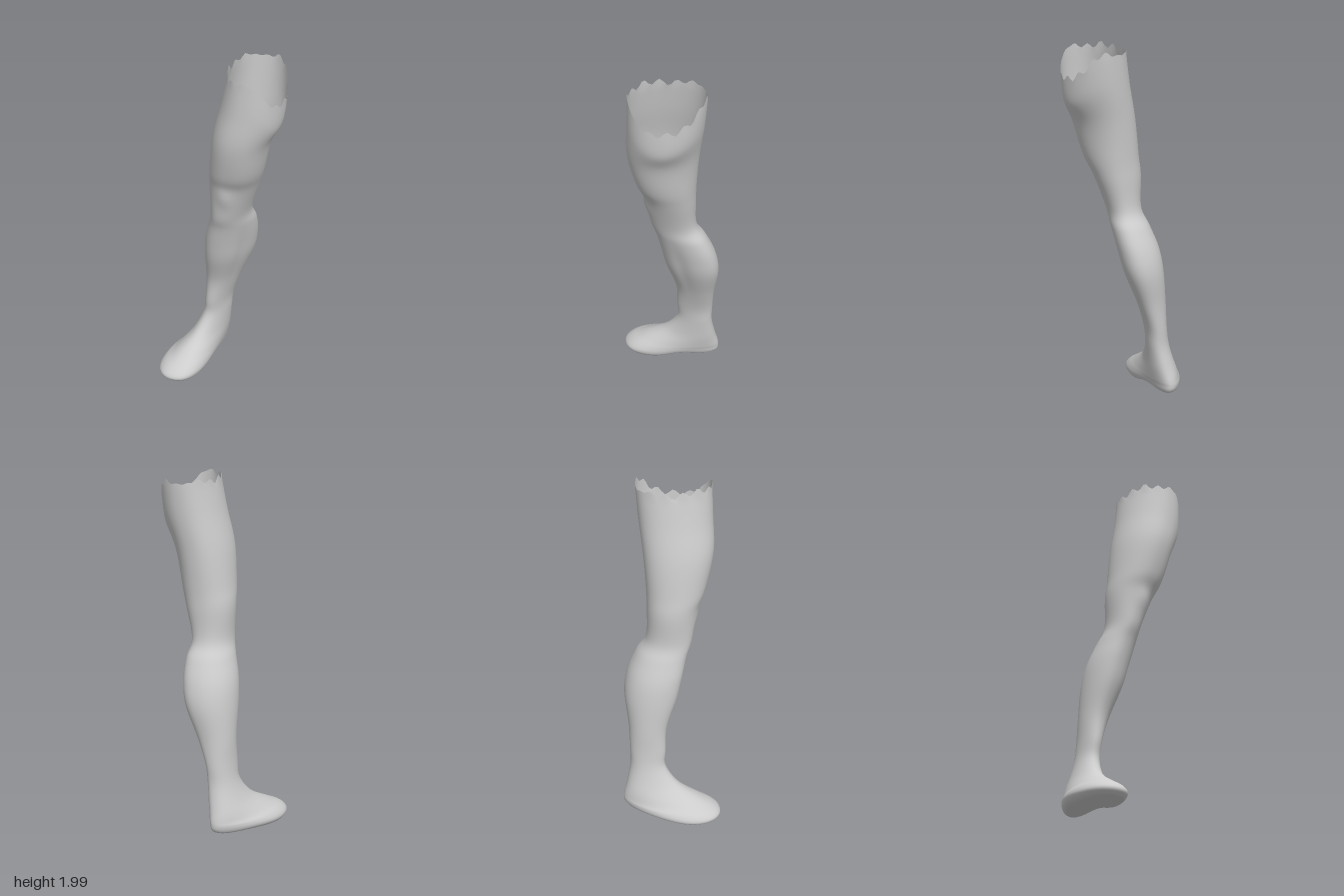
import * as THREE from 'three';

const { smoothstep } = THREE.MathUtils;

// Sections from the thigh down to the sole: [y, zBack, zFront, xCentre, halfWidth]
const SECTIONS = [
  [1.96, -0.135, 0.272, 0.19, 0.15],
  [1.79, -0.125, 0.275, 0.165, 0.16],
  [1.6, -0.11, 0.272, 0.115, 0.155],
  [1.4, -0.1, 0.225, 0.082, 0.146],
  [1.28, -0.1, 0.172, 0.058, 0.132],
  [1.1, -0.107, 0.14, 0.033, 0.1],
  [1.0, -0.165, 0.106, 0.024, 0.115],
  [0.88, -0.218, 0.077, 0.005, 0.127],
  [0.75, -0.24, 0.045, -0.014, 0.121],
  [0.57, -0.227, -0.016, -0.052, 0.088],
  [0.42, -0.225, -0.027, -0.08, 0.065],
  [0.31, -0.226, -0.03, -0.094, 0.066],
  [0.2, -0.248, 0.04, -0.125, 0.08],
  [0.12, -0.27, 0.165, -0.165, 0.102],
  [0.08, -0.275, 0.235, -0.192, 0.12],
  [0.045, -0.27, 0.27, -0.205, 0.126],
  [0.018, -0.25, 0.26, -0.205, 0.115],
  [0.004, -0.2, 0.215, -0.202, 0.088],
  [0.004, -0.005, 0.005, -0.2, 0.003],
];
const SIDES = 64, STEPS = 6;

// Smooth blend through the sections
function sectionAt(t) {
  const last = SECTIONS.length - 1;
  const i = Math.min(Math.floor(t), last - 1), f = t - i;
  const at = (n) => SECTIONS[Math.max(0, Math.min(last, n))];
  const [p, q, r, s] = [at(i - 1), at(i), at(i + 1), at(i + 2)];
  return q.map((_, n) => q[n] + 0.5 * f * (r[n] - p[n]
    + f * (2 * p[n] - 5 * q[n] + 4 * r[n] - s[n]
    + f * (3 * (q[n] - r[n]) + s[n] - p[n]))));
}

const gauss = (d, w) => Math.exp(-(d * d) / (w * w));

function pointAt(t, a) {
  const [y0, zBack, zFront, cx, rx] = sectionAt(t);
  const c = Math.cos(a), s = Math.sin(a);
  const depth = (zFront - zBack) / 2;

  // The lower leg turns outward and narrows to the shin; the foot curves and widens to the toes
  const lower = 1 - smoothstep(y0, 0.9, 1.5);
  const foot = 1 - smoothstep(y0, 0.03, 0.2);
  const taper = 0.37 * foot - 0.12 * lower;
  const blunt = Math.sign(c) * Math.pow(Math.abs(c), 0.9);
  let x = cx + rx * blunt * (1 + taper * s) - 0.27 * lower * depth * s + 0.48 * foot * (depth * s) ** 2;
  let y = y0;
  let z = (zBack + zFront) / 2 + depth * s;

  // Kneecap
  if (s > 0) z += 0.014 * gauss(x - 0.04, 0.05) * gauss(y - 1.24, 0.06);
  // Groove between calf and shin
  x -= 0.01 * gauss(a - 0.45, 0.25) * gauss(y - 0.78, 0.16);

  // Rim dips on one side and ends in a ragged edge
  y -= 0.15 * smoothstep(y0, 1.5, 1.96) * Math.max(0, Math.cos(a - 0.25)) ** 2;
  if (t < 0.2) {
    y += (1 - t / 0.2) * (0.012 + 0.016 * Math.sin(a * 9) * Math.sin(a * 4 + 1) + 0.01 * Math.sin(a * 15));
  }

  // Heel and inner arch stand slightly higher than the ball of the foot
  const low = 1 - Math.min(1, Math.max(0, y0) / 0.1);
  const arch = gauss(z + 0.03, 0.1) * smoothstep(x, -0.24, -0.1);
  y += low * (0.025 * (1 - smoothstep(z, -0.15, 0.12)) + 0.02 * arch);
  return [x, y, z];
}

export function createModel() {
  const positions = [], index = [];
  const rings = (SECTIONS.length - 1) * STEPS;
  for (let i = 0; i <= rings; i++) {
    for (let j = 0; j < SIDES; j++) {
      positions.push(...pointAt(i / STEPS, j / SIDES * Math.PI * 2));
      if (i === rings) continue;
      const a = i * SIDES + j, b = i * SIDES + (j + 1) % SIDES;
      index.push(a, b, a + SIDES, b, b + SIDES, a + SIDES);
    }
  }
  const geometry = new THREE.BufferGeometry();
  geometry.setAttribute('position', new THREE.Float32BufferAttribute(positions, 3));
  geometry.setIndex(index);
  geometry.computeVertexNormals();

  const leg = new THREE.Mesh(geometry,
    new THREE.MeshStandardMaterial({ color: 0xcccccc, side: THREE.DoubleSide }));
  leg.name = 'legAndFoot';
  const group = new THREE.Group();
  group.name = 'leg';
  group.add(leg);
  return group;
}
